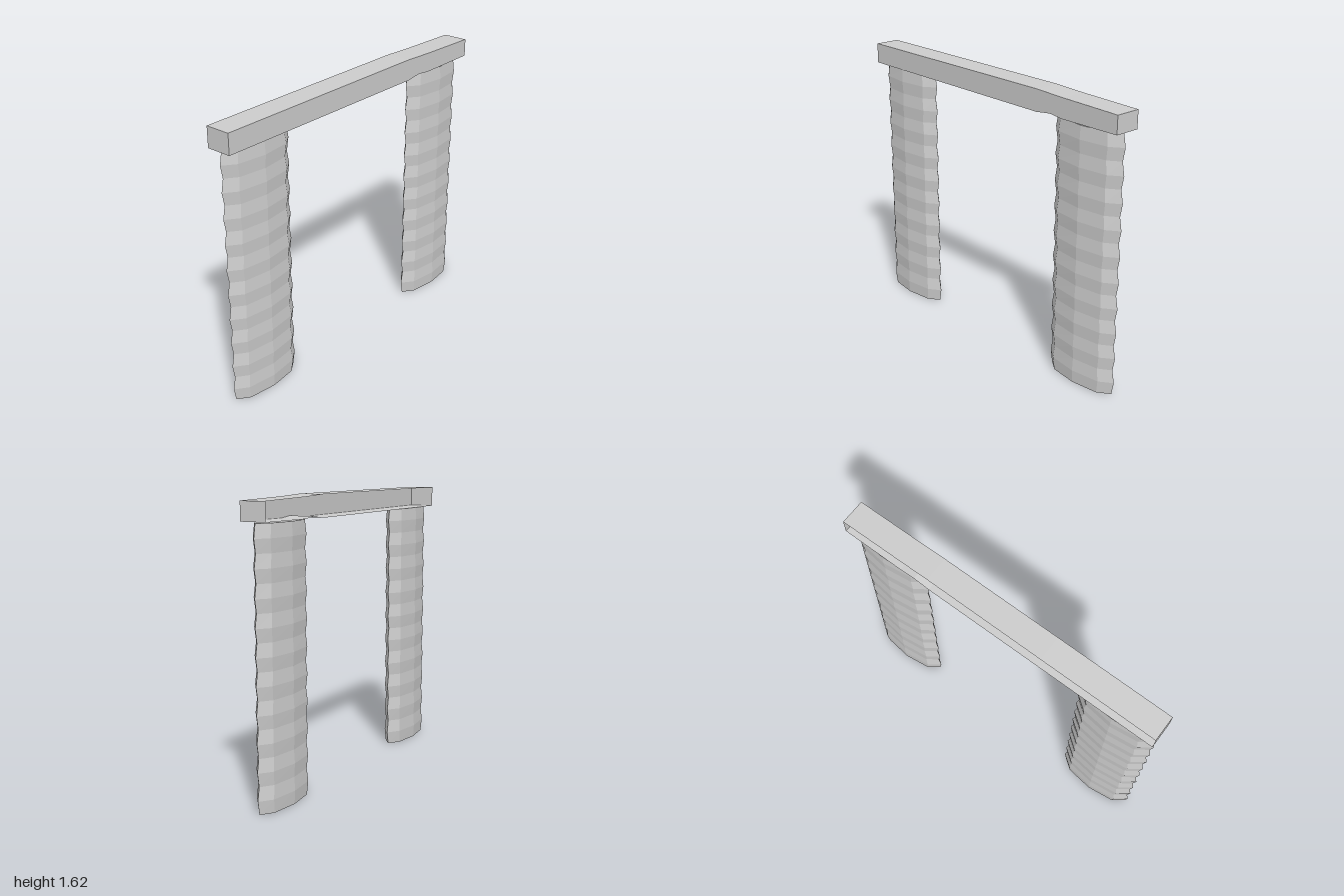
import * as THREE from 'three';

const HALF_DEPTH = 0.075;

// Faceted normals for any geometry
function faceted(geometry) {
  const g = geometry.index ? geometry.toNonIndexed() : geometry;
  g.computeVertexNormals();
  return g;
}

// Eight-sided oval pillar with ten zigzag ridges
function pillarGeometry() {
  const height = 1.5, rows = 20;
  const g = new THREE.CylinderGeometry(1, 1, height, 8, rows);
  g.translate(0, height / 2, 0);
  const p = g.attributes.position;
  for (let i = 0; i < p.count; i++) {
    const row = Math.round((p.getY(i) / height) * rows);
    const wide = row % 2 === 1;
    p.setX(i, p.getX(i) * (wide ? 0.245 : 0.231));
    p.setZ(i, p.getZ(i) * (wide ? HALF_DEPTH : 0.07));
  }
  return faceted(g);
}

// Slightly warped beam, open along the back: stations are [x, bottom, top]
function lintelGeometry() {
  const stations = [
    [-1, 1.5, 1.619], [-0.3, 1.5, 1.622], [0.43, 1.5, 1.625],
    [0.53, 1.513, 1.621], [0.62, 1.504, 1.618], [1, 1.508, 1.611],
  ];
  const positions = [];
  const quad = (a, b, c, d) => positions.push(...a, ...b, ...c, ...a, ...c, ...d);
  // Section corners: back bottom, front bottom, front top, back top
  const sections = stations.map(([x, y0, y1]) => [
    [x, y0, -HALF_DEPTH], [x, y0, HALF_DEPTH], [x, y1, HALF_DEPTH], [x, y1, -HALF_DEPTH],
  ]);
  for (let i = 0; i < sections.length - 1; i++) {
    const a = sections[i], b = sections[i + 1];
    for (let k = 0; k < 3; k++) quad(a[k], b[k], b[k + 1], a[k + 1]);
  }
  // End faces
  const first = sections[0], last = sections[sections.length - 1];
  quad(first[0], first[1], first[2], first[3]);
  quad(last[3], last[2], last[1], last[0]);
  const g = new THREE.BufferGeometry();
  g.setAttribute('position', new THREE.Float32BufferAttribute(positions, 3));
  return faceted(g);
}

export function createModel() {
  const group = new THREE.Group();
  group.name = 'gateway';
  const stone = new THREE.MeshStandardMaterial({ color: 0xcccccc, side: THREE.DoubleSide });
  stone.name = 'pale grey stone';

  const pillar = pillarGeometry();
  for (const [name, x] of [['leftPillar', 0.75], ['rightPillar', -0.752]]) {
    const mesh = new THREE.Mesh(pillar, stone);
    mesh.name = name;
    mesh.position.x = x;
    group.add(mesh);
  }

  const lintel = new THREE.Mesh(lintelGeometry(), stone);
  lintel.name = 'lintel';
  group.add(lintel);
  return group;
}
